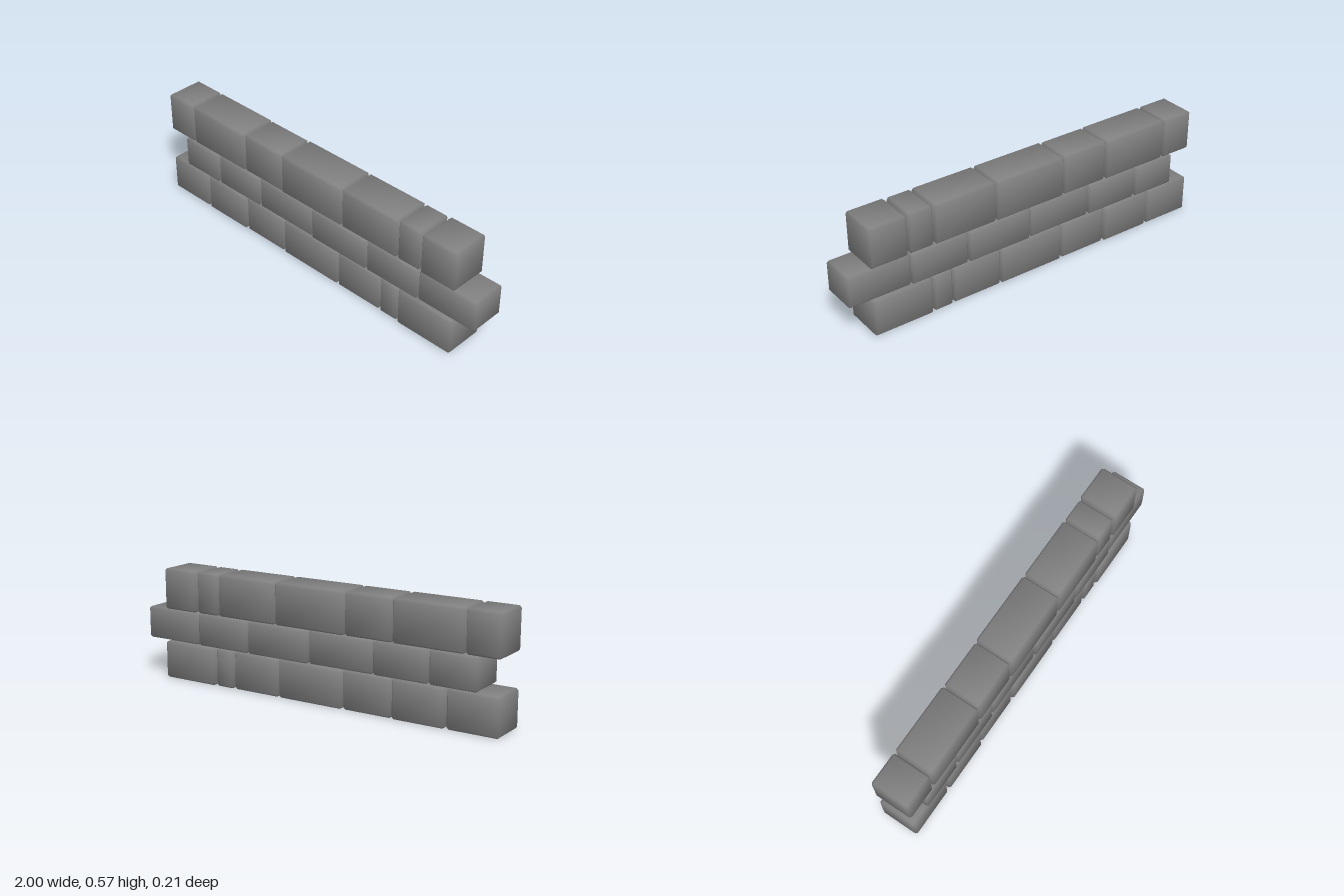
import * as THREE from 'three';
import { ConvexGeometry } from 'three/addons/geometries/ConvexGeometry.js';

// Box with chamfered edges and soft, bevel-averaged normals
function chamferedBox(w, h, d, c) {
  const half = [w / 2, h / 2, d / 2];
  const points = [];
  for (const sx of [-1, 1]) for (const sy of [-1, 1]) for (const sz of [-1, 1]) {
    for (let axis = 0; axis < 3; axis++) {
      const p = half.map((v, i) => (i === axis ? v : v - c));
      points.push(new THREE.Vector3(sx * p[0], sy * p[1], sz * p[2]));
    }
  }
  const geometry = new ConvexGeometry(points);
  const pos = geometry.attributes.position;
  const normal = geometry.attributes.normal;
  for (let i = 0; i < pos.count; i++) {
    const p = [pos.getX(i), pos.getY(i), pos.getZ(i)];
    // Lean each normal from its main face towards the corner
    const n = p.map((v, a) => Math.sign(v) * (Math.abs(v) > half[a] - c / 2 ? 1 : 0.39));
    const len = Math.hypot(...n);
    normal.setXYZ(i, n[0] / len, n[1] / len, n[2] / len);
  }
  return geometry;
}

// Courses of stones: [left x, right x, half depth]
const courses = [
  {
    name: 'bottomCourse', y0: 0, y1: 0.19,
    stones: [
      [-1, -0.738, 0.1], [-0.728, -0.454, 0.102], [-0.447, -0.187, 0.096], [-0.18, 0.179, 0.1],
      [0.185, 0.449, 0.098], [0.457, 0.561, 0.1], [0.57, 0.883, 0.106],
    ],
  },
  {
    name: 'middleCourse', y0: 0.195, y1: 0.357,
    stones: [
      [-0.889, -0.647, 0.103], [-0.639, -0.351, 0.1], [-0.345, 0.006, 0.096],
      [0.012, 0.361, 0.103], [0.367, 0.673, 0.1], [0.676, 1, 0.094],
    ],
  },
  {
    name: 'topCourse', y0: 0.36, y1: 0.568,
    stones: [
      [-1, -0.826, 0.1], [-0.818, -0.453, 0.1], [-0.447, -0.195, 0.096], [-0.19, 0.2, 0.1],
      [0.206, 0.542, 0.099], [0.549, 0.676, 0.096], [0.687, 0.883, 0.101],
    ],
  },
];

export function createModel() {
  const wall = new THREE.Group();
  wall.name = 'stoneWall';
  const stoneGrey = new THREE.MeshStandardMaterial({ color: 0x808080 });
  stoneGrey.name = 'stoneGrey';

  for (const { name, y0, y1, stones } of courses) {
    const course = new THREE.Group();
    course.name = name;
    stones.forEach(([x0, x1, depth], i) => {
      const stone = new THREE.Mesh(chamferedBox(x1 - x0, y1 - y0, depth * 2, 0.01), stoneGrey);
      stone.name = `stone${i + 1}`;
      stone.position.set((x0 + x1) / 2, (y0 + y1) / 2, 0);
      course.add(stone);
    });
    wall.add(course);
  }
  return wall;
}
